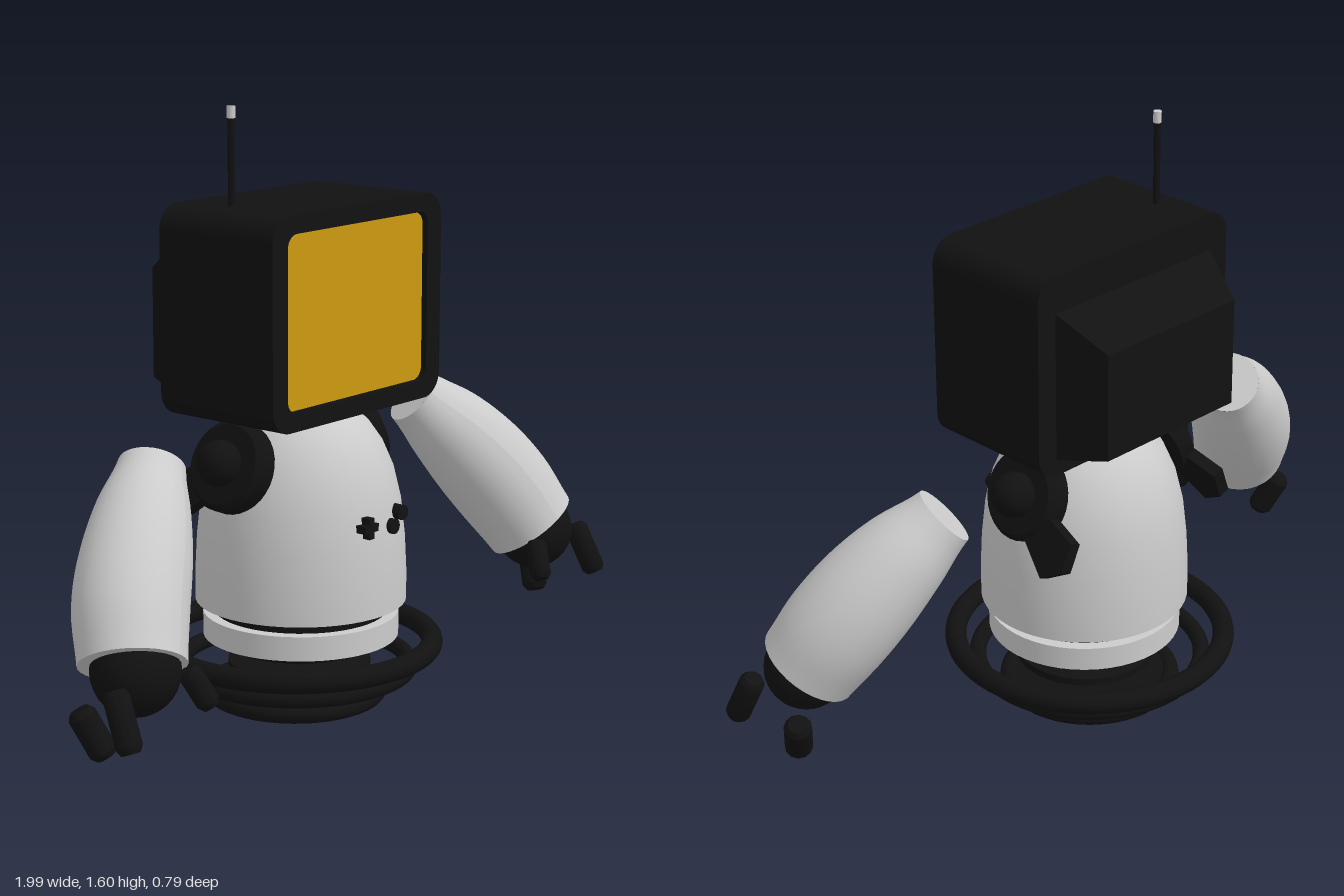
import * as THREE from 'three';
import { toCreasedNormals } from 'three/addons/utils/BufferGeometryUtils.js';

const grey = new THREE.MeshStandardMaterial({ color: 0xcccccc });
const black = new THREE.MeshStandardMaterial({ color: 0x111111 });
const amber = new THREE.MeshStandardMaterial({ color: 0xcc9910 });

function add(parent, name, geometry, material, x = 0, y = 0, z = 0) {
  const mesh = new THREE.Mesh(geometry, material);
  mesh.name = name;
  mesh.position.set(x, y, z);
  parent.add(mesh);
  return mesh;
}

function lathe(points, segments = 48) {
  const profile = points.map(([r, y]) => new THREE.Vector2(r, y));
  return toCreasedNormals(new THREE.LatheGeometry(profile, segments), 0.6);
}

function roundedRect(path, w, h, r) {
  const x = w / 2, y = h / 2;
  path.absarc(x - r, y - r, r, 0, Math.PI / 2);
  path.absarc(r - x, y - r, r, Math.PI / 2, Math.PI);
  path.absarc(r - x, r - y, r, Math.PI, Math.PI * 1.5);
  path.absarc(x - r, r - y, r, Math.PI * 1.5, Math.PI * 2);
  path.closePath();
  return path;
}

function extrude(shape, depth) {
  const g = new THREE.ExtrudeGeometry(shape, { depth, bevelEnabled: false, curveSegments: 8 });
  return toCreasedNormals(g, 0.6);
}

// Box-like head with recessed screen, tapered back and antenna
function buildHead() {
  const head = new THREE.Group();
  head.name = 'head';
  const cy = 1.078;
  const outline = () => roundedRect(new THREE.Shape(), 0.68, 0.545, 0.065);
  add(head, 'headCase', extrude(outline(), 0.35), black, 0, cy, -0.16);
  const frame = outline();
  frame.holes.push(roundedRect(new THREE.Path(), 0.565, 0.45, 0.035));
  add(head, 'screenFrame', extrude(frame, 0.025), black, 0, cy, 0.19);
  add(head, 'screen', extrude(roundedRect(new THREE.Shape(), 0.56, 0.445, 0.033), 0.01), amber, 0, cy, 0.19);

  const back = new THREE.BoxGeometry(0.56, 0.4, 0.13);
  const p = back.attributes.position;
  for (let i = 0; i < p.count; i++) {
    if (p.getZ(i) > 0) continue;
    p.setX(i, p.getX(i) * 0.82);
    p.setY(i, p.getY(i) > 0 ? 0.115 : -0.175);
  }
  back.computeVertexNormals();
  add(head, 'headBack', back, black, 0, 1.05, -0.225);

  add(head, 'antenna', new THREE.CylinderGeometry(0.009, 0.009, 0.23, 12), black, -0.235, 1.455, -0.01);
  add(head, 'antennaTip', new THREE.CylinderGeometry(0.011, 0.011, 0.03, 12), grey, -0.235, 1.585, -0.01);
  return head;
}

// Domed torso with waist band and front buttons
function buildBody() {
  const body = new THREE.Group();
  body.name = 'body';
  body.position.z = 0.02;
  add(body, 'torso', lathe([[0, 0.285], [0.28, 0.285], [0.28, 0.36], [0.275, 0.46], [0.264, 0.56],
    [0.245, 0.64], [0.215, 0.71], [0.18, 0.76], [0.135, 0.8], [0.07, 0.825], [0, 0.83]]), grey);
  add(body, 'waistBand', new THREE.CylinderGeometry(0.23, 0.23, 0.05, 48), black, 0, 0.265, 0);
  add(body, 'waistBase', new THREE.CylinderGeometry(0.26, 0.26, 0.065, 48), grey, 0, 0.22, 0);

  add(body, 'crossButton', new THREE.BoxGeometry(0.055, 0.02, 0.04), black, -0.055, 0.53, 0.263);
  add(body, 'crossButton', new THREE.BoxGeometry(0.02, 0.055, 0.04), black, -0.055, 0.53, 0.263);
  for (const [x, y] of [[0.08, 0.545], [0.045, 0.515]]) {
    add(body, 'roundButton', new THREE.CylinderGeometry(0.02, 0.02, 0.04, 16), black, x, y, 0.26).rotation.x = Math.PI / 2;
  }
  return body;
}

// Hover rings and their hub
function buildBase() {
  const base = new THREE.Group();
  base.name = 'hoverBase';
  for (const [r, y, tube] of [[0.366, 0.162, 0.029], [0.307, 0.097, 0.023], [0.222, 0.026, 0.024]]) {
    add(base, 'hoverRing', new THREE.TorusGeometry(r, tube, 14, 64), black, 0, y, 0).rotation.x = Math.PI / 2;
  }
  add(base, 'hub', lathe([[0, 0.01], [0.06, 0.015], [0.1, 0.04], [0.1, 0.085], [0.19, 0.095],
    [0.19, 0.115], [0.1, 0.125], [0.1, 0.145], [0.2, 0.16], [0.21, 0.19], [0, 0.19]]), black, 0, 0, 0.015);
  add(base, 'lowerDisc', new THREE.CylinderGeometry(0.215, 0.215, 0.02, 48), black, 0, 0.03, 0);
  return base;
}

// Tilted shoulder disc with ball and rear lug
function buildShoulder() {
  const shoulder = new THREE.Group();
  shoulder.name = 'shoulder';
  shoulder.position.set(0.245, 0.68, -0.01);
  shoulder.rotation.z = -1.18;
  add(shoulder, 'shoulderDisc', lathe([[0, -0.03], [0.12, -0.03], [0.12, 0.015], [0.105, 0.03], [0, 0.03]], 32), black);
  add(shoulder, 'shoulderBall', new THREE.SphereGeometry(0.06, 24, 16), black, 0, 0.045, 0);
  const lug = new THREE.Shape([[0.01, 0.08], [0.06, 0.206], [0.14, 0.202], [0.177, 0.138], [0.1, 0.05]]
    .map(([x, y]) => new THREE.Vector2(x, y)));
  add(shoulder, 'shoulderLug', extrude(lug, 0.035).rotateX(-Math.PI / 2), black, 0, -0.015, 0);
  return shoulder;
}

// Chamfered finger between two points
function addFinger(parent, from, to, r) {
  const a = new THREE.Vector3(...from), b = new THREE.Vector3(...to);
  const dir = b.clone().sub(a), h = dir.length() / 2;
  const g = lathe([[0, -h], [r * 0.7, -h], [r, -h + 0.015], [r, h - 0.015], [r * 0.7, h], [0, h]], 12);
  const finger = add(parent, 'finger', g, black, ...a.add(b).multiplyScalar(0.5).toArray());
  finger.quaternion.setFromUnitVectors(new THREE.Vector3(0, 1, 0), dir.normalize());
}

// Curved, swelling sleeve with a ball hand and floating fingers
function buildArm() {
  const arm = new THREE.Group();
  arm.name = 'arm';
  const path = new THREE.CatmullRomCurve3([[0.53, 0.735, -0.015], [0.655, 0.6, 0.06], [0.76, 0.46, 0.128], [0.822, 0.34, 0.19]]
    .map(p => new THREE.Vector3(...p)));
  const radii = new THREE.SplineCurve([[0, 0.085], [0.3, 0.118], [0.6, 0.138], [0.85, 0.142], [1, 0.132]]
    .map(p => new THREE.Vector2(...p)));
  const rings = 20, sides = 32;
  const sleeve = new THREE.TubeGeometry(path, rings, 1, sides);
  const p = sleeve.attributes.position, v = new THREE.Vector3();
  const caps = [[], []];
  for (let i = 0; i <= rings; i++) {
    const c = path.getPointAt(i / rings), r = radii.getPoint(i / rings).y;
    for (let j = 0; j <= sides; j++) {
      const k = i * (sides + 1) + j;
      v.fromBufferAttribute(p, k).sub(c).multiplyScalar(r).add(c);
      p.setXYZ(k, v.x, v.y, v.z);
    }
  }
  sleeve.computeVertexNormals();
  add(arm, 'sleeve', sleeve, grey);

  // End caps
  [[0, 0.085, -1], [1, 0.132, 1]].forEach(([t, r, s]) => {
    const cap = add(arm, 'sleeveCap', new THREE.CircleGeometry(r, sides), grey, ...path.getPointAt(t).toArray());
    cap.quaternion.setFromUnitVectors(new THREE.Vector3(0, 0, 1), path.getTangentAt(t).multiplyScalar(s));
  });

  add(arm, 'hand', new THREE.SphereGeometry(0.11, 24, 16), black, 0.822, 0.328, 0.2);
  addFinger(arm, [0.95, 0.325, 0.255], [0.965, 0.19, 0.32], 0.033);
  addFinger(arm, [0.928, 0.24, 0.115], [0.89, 0.125, 0.165], 0.036);
  addFinger(arm, [0.725, 0.325, 0.275], [0.69, 0.23, 0.32], 0.03);
  return arm;
}

export function createModel() {
  const model = new THREE.Group();
  model.name = 'robot';
  model.add(buildHead(), buildBody(), buildBase());
  for (const side of [1, -1]) {
    const limb = new THREE.Group();
    limb.name = side > 0 ? 'leftLimb' : 'rightLimb';
    limb.add(buildShoulder(), buildArm());
    limb.scale.x = side;
    model.add(limb);
  }
  return model;
}
